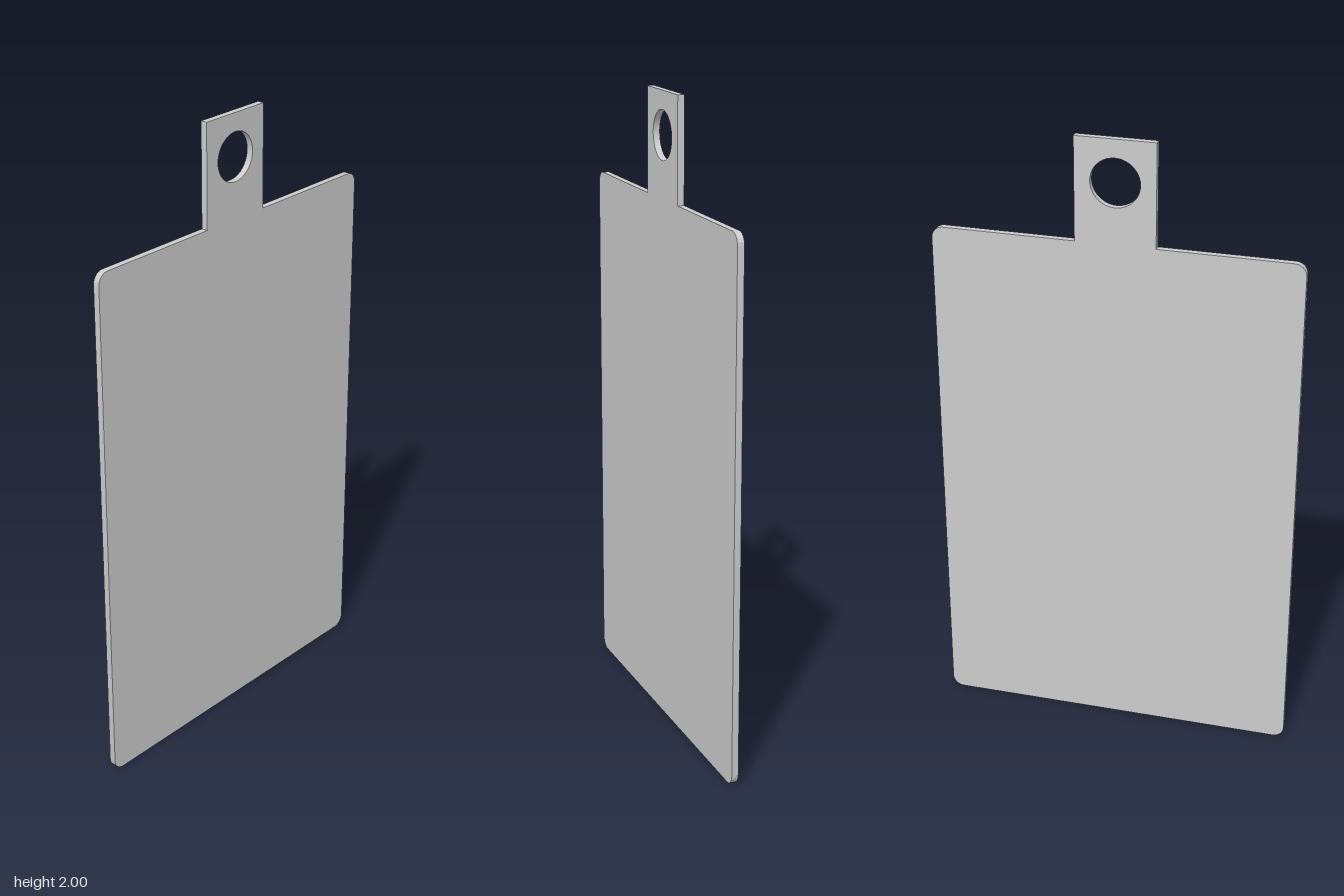
import * as THREE from 'three';
import { toCreasedNormals } from 'three/addons/utils/BufferGeometryUtils.js';

const HALF_WIDTH = 0.57, SHOULDER = 1.675, CORNER = 0.036;
const TAB_HALF = 0.124, TOP = 2, THICKNESS = 0.021;

// Outline of the board: rounded rectangle with a square hanging tab on top
function boardShape() {
  const w = HALF_WIDTH, r = CORNER, s = new THREE.Shape();
  s.moveTo(-w + r, 0);
  s.absarc(w - r, r, r, -Math.PI / 2, 0);
  s.absarc(w - r, SHOULDER - r, r, 0, Math.PI / 2);
  s.lineTo(TAB_HALF, SHOULDER);
  s.lineTo(TAB_HALF, TOP);
  s.lineTo(-TAB_HALF, TOP);
  s.lineTo(-TAB_HALF, SHOULDER);
  s.absarc(-w + r, SHOULDER - r, r, Math.PI / 2, Math.PI);
  s.absarc(-w + r, r, r, Math.PI, Math.PI * 1.5);

  // Round hanging hole
  const hole = new THREE.Path();
  hole.absarc(0, 1.867, 0.076, 0, Math.PI * 2, true);
  s.holes.push(hole);
  return s;
}

export function createModel() {
  const group = new THREE.Group();
  group.name = 'hangingBoard';

  // Flat plate, centred on z = 0
  const geometry = new THREE.ExtrudeGeometry(boardShape(), {
    depth: THICKNESS, bevelEnabled: false, curveSegments: 20,
  });
  geometry.translate(0, 0, -THICKNESS / 2);

  const board = new THREE.Mesh(
    toCreasedNormals(geometry, Math.PI / 5),
    new THREE.MeshStandardMaterial({ color: 0xcccccc })
  );
  board.name = 'boardWithTab';
  group.add(board);
  return group;
}
